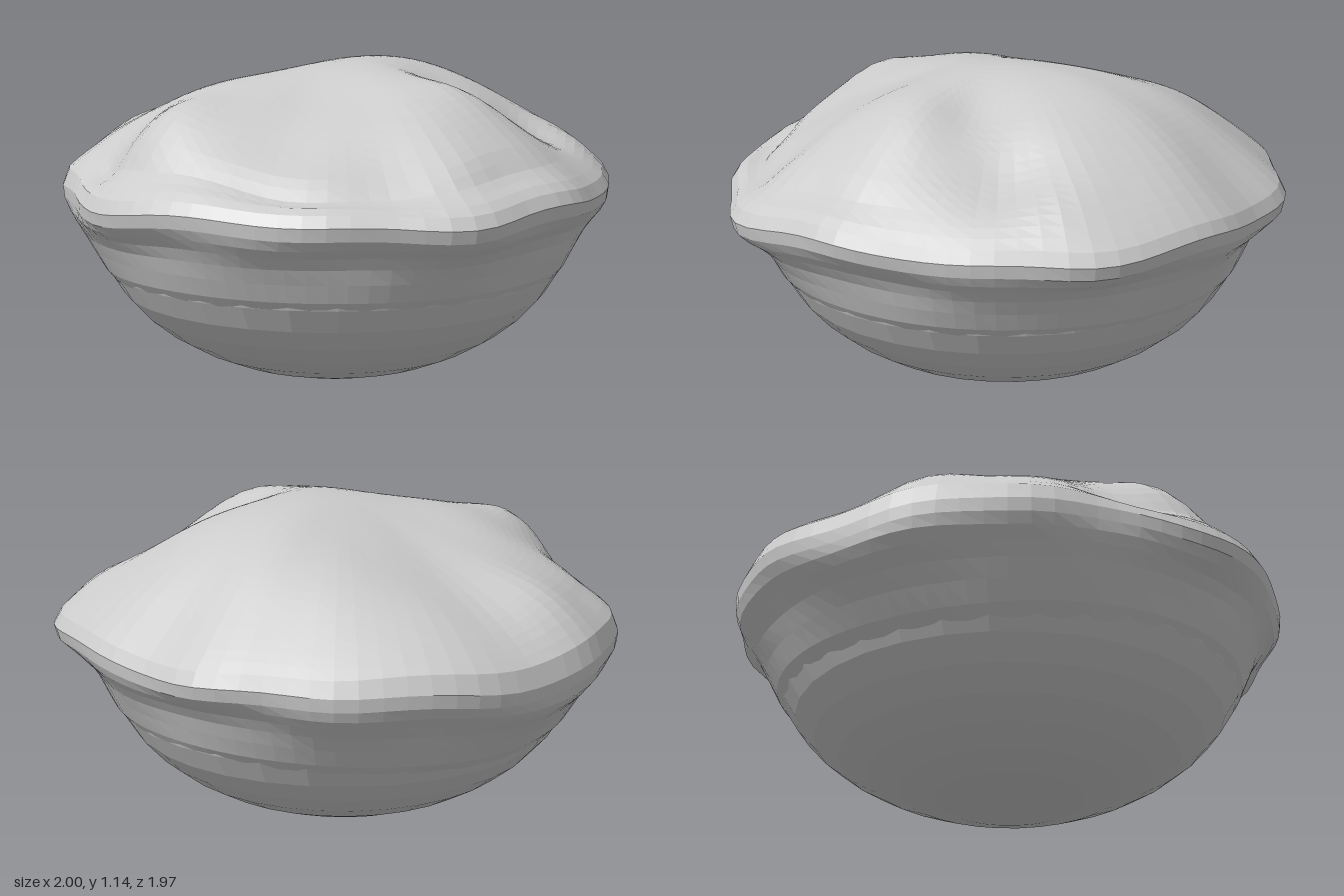
import * as THREE from 'three';

const TAU = Math.PI * 2;
const BOWL_R = 0.86, BOWL_H = 0.58;

// Outer radius of the crust every 15 degrees, starting at +x and turning towards +z
const RIM = [0.995, 1.0, 1.045, 1.0, 0.985, 0.98, 0.975, 1.005, 0.965, 0.955, 0.985, 0.995,
  1.0, 1.01, 1.015, 1.0, 0.985, 1.0, 0.98, 0.99, 1.02, 1.03, 0.99, 0.97];

// Lumps and hollows of the crust: x, z, spread, height
const LUMPS = [
  [0.1, -0.05, 0.22, 0.045], [-0.55, -0.1, 0.25, -0.06], [-0.25, 0.35, 0.15, 0.02],
  [0.62, -0.34, 0.12, -0.065], [0.42, -0.12, 0.1, -0.035], [0.54, 0.1, 0.15, 0.045],
  [0.32, 0.66, 0.17, -0.06], [-0.24, 0.69, 0.13, 0.075], [-0.52, 0.74, 0.1, -0.07],
  [0.62, 0.58, 0.13, -0.05], [0.02, -0.5, 0.2, 0.045], [-0.85, 0.1, 0.14, 0.04],
  [0.15, 0.34, 0.12, -0.025], [-0.4, -0.45, 0.16, 0.02], [0.7, -0.55, 0.1, 0.02],
];

// Folded lip below the edge: share of the way out from the bowl, height
const LIP = [[1, 0.705], [0.94, 0.66], [0.74, 0.625], [0.48, 0.592], [0.26, 0.55],
  [0.12, 0.495], [0.04, 0.43], [-0.06, 0.37]];

function rimRadius(angle) {
  const f = ((angle / TAU + 1) % 1) * RIM.length;
  const i = Math.floor(f), u = f - i;
  const at = (k) => RIM[(i + k + RIM.length) % RIM.length];
  const [a, b, c, d] = [at(-1), at(0), at(1), at(2)];
  const smooth = b + 0.5 * u * (c - a + u * (2 * a - 5 * b + 4 * c - d + u * (3 * (b - c) + d - a)));
  return smooth + 0.006 * Math.sin(13 * angle);
}

const bowlRadius = (y) => BOWL_R * Math.sqrt(1 - (1 - Math.min(y, BOWL_H) / BOWL_H) ** 2);

// Closed rings running from the centre outwards and down
function ringSurface(name, rings, sides, pointAt) {
  const pos = [], index = [];
  for (let i = 0; i <= rings; i++) {
    for (let j = 0; j < sides; j++) pos.push(...pointAt(i, (j / sides) * TAU));
  }
  for (let i = 0; i < rings; i++) {
    for (let j = 0; j < sides; j++) {
      const k = (j + 1) % sides;
      const a = i * sides + j, b = i * sides + k;
      index.push(a, b, a + sides, b, b + sides, a + sides);
    }
  }
  const geometry = new THREE.BufferGeometry();
  geometry.setAttribute('position', new THREE.Float32BufferAttribute(pos, 3));
  geometry.setIndex(index);
  geometry.computeVertexNormals();
  const mesh = new THREE.Mesh(geometry, new THREE.MeshStandardMaterial({
    color: 0xcccccc, flatShading: true, side: THREE.DoubleSide,
  }));
  mesh.name = name;
  return mesh;
}

const DOME_RINGS = 26;

function crustPoint(i, angle) {
  const c = Math.cos(angle), s = Math.sin(angle);
  const R = rimRadius(angle);
  const wave = 0.01 * Math.sin(5 * angle + 1) + 0.008 * Math.sin(9 * angle);
  if (i <= DOME_RINGS) {
    // Uneven dome with a broken groove behind the front edge
    const t = 0.975 * Math.pow(i / DOME_RINGS, 0.9);
    const r = t * R, x = r * c, z = r * s;
    let y = 0.725 + 0.375 * (1 - Math.pow(t, 2.5)) + wave * t * t;
    const fade = 1 - Math.pow(t, 8);
    for (const [lx, lz, spread, h] of LUMPS) {
      y += fade * h * Math.exp(-((x - lx) ** 2 + (z - lz) ** 2) / (2 * spread * spread));
    }
    y += fade * t * 0.006 * Math.sin(9 * x + 4 * z) * Math.sin(10 * z - 3 * x);
    const depth = Math.max(0, s + 0.3 * c) * (0.024 + 0.01 * Math.sin(7 * angle));
    y -= depth * Math.exp(-(((t - 0.88) / 0.045) ** 2));
    return [x, y, z];
  }
  // Lip that folds under, hangs lower on the -x side and runs out into the bowl
  const [share, h] = LIP[i - DOME_RINGS - 1];
  const droop = Math.max(0, -c) ** 2;
  const under = Math.sin(Math.PI * Math.max(0, share));
  const y = h + wave * Math.max(0, share) - 0.045 * droop * (1 - share * 0.4);
  const base = bowlRadius(y);
  const r = base + (R - base) * share
    + under * (0.03 * droop + 0.012 * Math.sin(7 * angle + 8 * y));
  return [r * c, y, r * s];
}

// Rounded bowl, faceted
function bowlPoint(i, angle) {
  const a = (i / 10) * Math.PI / 2;
  const r = BOWL_R * Math.cos(a);
  return [r * Math.cos(angle), BOWL_H * (1 - Math.sin(a)), r * Math.sin(angle)];
}

export function createModel() {
  const group = new THREE.Group();
  group.name = 'pie';
  group.add(ringSurface('bowl', 10, 32, bowlPoint));
  group.add(ringSurface('crust', DOME_RINGS + LIP.length, 80, crustPoint));
  return group;
}
